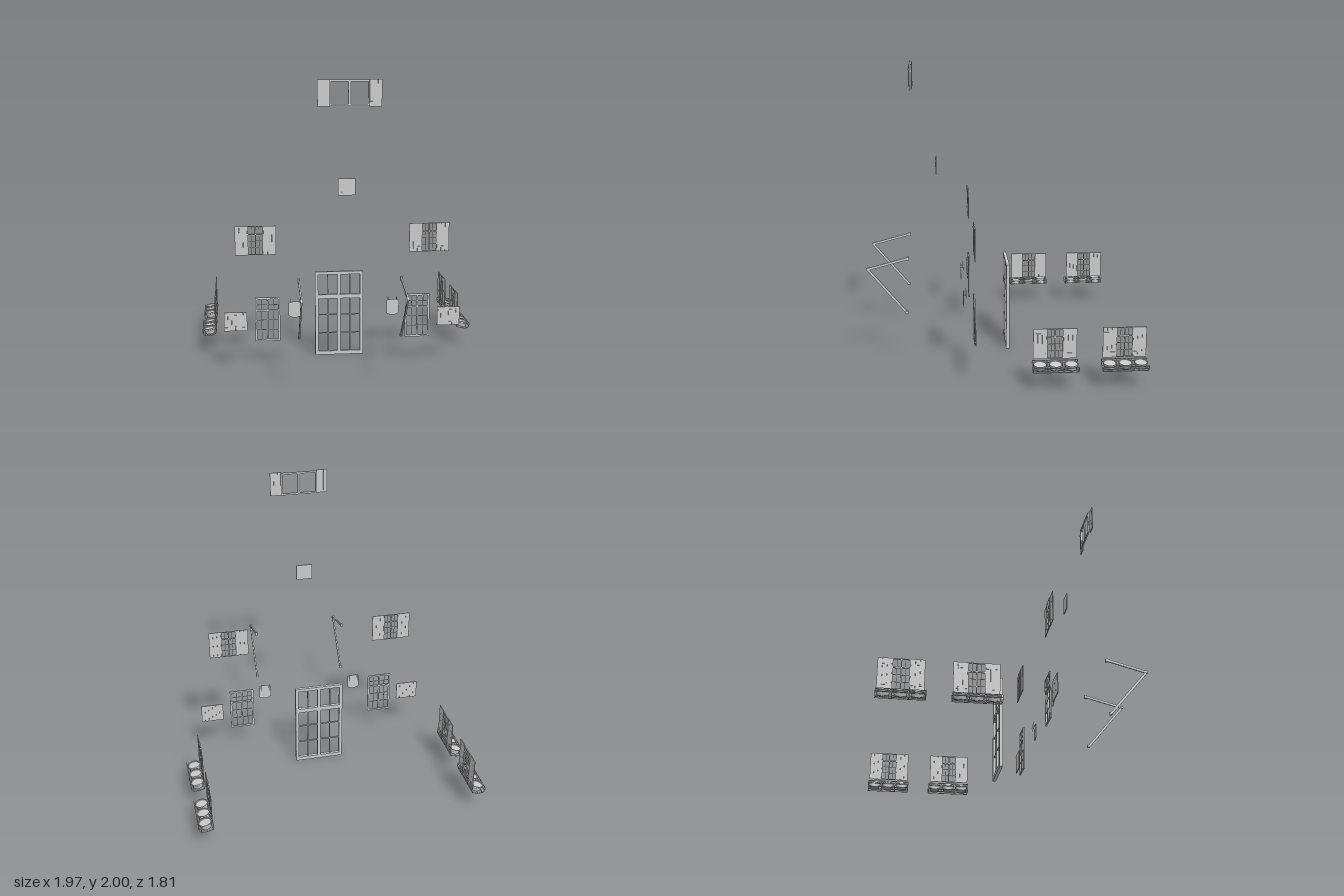
import * as THREE from 'three';

const grey = new THREE.MeshStandardMaterial({ color: 0xcccccc, flatShading: true });
const smooth = new THREE.MeshStandardMaterial({ color: 0xcccccc, side: THREE.DoubleSide });

function box(parent, name, w, h, d, x, y, z) {
  const m = new THREE.Mesh(new THREE.BoxGeometry(w, h, d), grey);
  m.name = name;
  m.position.set(x, y, z);
  parent.add(m);
  return m;
}

// Straight bar of rectangular section between two points
function bar(parent, name, a, b, w, d) {
  const from = new THREE.Vector3(...a), to = new THREE.Vector3(...b);
  const m = box(parent, name, w, d, from.distanceTo(to), 0, 0, 0);
  m.position.copy(from).add(to).multiplyScalar(0.5);
  m.lookAt(to);
}

// Frame with central mullion, optional transom and thin glazing bars; base at y = 0
function casement(name, w, h, d, o) {
  const g = new THREE.Group();
  g.name = name;
  const b = o.border, bot = o.bottom ?? b, t = o.thin ?? 0.003;
  for (const s of [-1, 1]) box(g, 'stile', b, h, d, s * (w - b) / 2, h / 2, 0);
  box(g, 'headRail', w - 2 * b, b, d, 0, h - b / 2, 0);
  box(g, 'bottomRail', w - 2 * b, bot, d, 0, bot / 2, 0);
  box(g, 'mullion', o.mullion, h - b - bot, d * 0.9, 0, (h - b + bot) / 2, 0);
  const fields = [];
  if (o.transom) {
    box(g, 'transom', w - 2 * b, o.transomSize, d * 1.05, 0, o.transom, 0);
    fields.push([bot, o.transom, o.rows], [o.transom, h - b, o.topRows]);
  }
  for (const [y0, y1, rows] of fields) {
    for (let i = 1; i < rows; i++)
      box(g, 'glazingBar', w - 2 * b, t, d * 0.5, 0, y0 + (y1 - y0) * i / rows, 0);
    for (const s of [-1, 1])
      box(g, 'glazingBar', t, y1 - y0, d * 0.5, s * w * 0.235, (y0 + y1) / 2, 0);
  }
  return g;
}

// Plank shutter with strap hinges on its outer face
function shutter(w, h, d, x, y, z, planks = 3) {
  const g = new THREE.Group();
  g.name = 'shutter';
  g.position.set(x, y, z);
  const p = w / planks;
  for (let i = 0; i < planks; i++)
    box(g, 'plank', p - 0.0006, h, d, -w / 2 + p * (i + 0.5), h / 2, 0);
  for (const k of [0.17, 0.83]) box(g, 'strapHinge', w * 0.9, 0.007, 0.002, 0, h * k, d / 2 + 0.001);
  return g;
}

function shutteredWindow(name) {
  const g = new THREE.Group();
  g.name = name;
  g.add(casement('casement', 0.108, 0.2, 0.008, {
    border: 0.005, mullion: 0.007, transom: 0.143, transomSize: 0.008, rows: 3, topRows: 1, thin: 0.0025
  }));
  for (const s of [-1, 1]) g.add(shutter(0.086, 0.2, 0.005, s * 0.097, 0, 0.002));
  return g;
}

// Wire rack carrying three round planters, sloping away from the wall (local +z)
function planterRack() {
  const g = new THREE.Group();
  g.name = 'planterRack';
  for (const z of [-0.046, 0, 0.046])
    bar(g, 'bottomRail', [-0.147, -0.028, z * 0.8], [0.147, -0.028, z * 0.8], 0.004, 0.004);
  for (const z of [-0.048, 0.048]) for (const y of [-0.006, 0.012])
    bar(g, 'sideRail', [-0.147, y, z], [0.147, y, z], 0.004, 0.004);
  for (const x of [-0.145, -0.05, 0.05, 0.145]) {
    const curve = new THREE.CatmullRomCurve3([[0.014, -0.048], [-0.018, -0.044], [-0.028, -0.03],
      [-0.028, 0.03], [-0.018, 0.044], [0.014, 0.05]].map(([y, z]) => new THREE.Vector3(x, y, z)));
    const m = new THREE.Mesh(new THREE.TubeGeometry(curve, 16, 0.0022, 5), smooth);
    m.name = 'cradle';
    g.add(m);
  }
  const profile = [[0, -0.024], [0.034, -0.024], [0.038, -0.004], [0.042, 0.004], [0.044, 0.006],
    [0.044, 0.016], [0.039, 0.016], [0.038, 0.01], [0, 0.01]].map(p => new THREE.Vector2(...p));
  for (const x of [-0.1, 0, 0.1]) {
    const pot = new THREE.Mesh(new THREE.LatheGeometry(profile, 24), grey);
    pot.name = 'planter';
    pot.position.x = x;
    g.add(pot);
  }
  g.rotation.x = 0.18;
  return g;
}

// Hanging plate with a bowed lower edge and two hooks behind
function plaque() {
  const g = new THREE.Group();
  g.name = 'hangingPlaque';
  const s = new THREE.Shape();
  s.moveTo(-0.043, 0.385);
  s.quadraticCurveTo(0, 0.355, 0.043, 0.385);
  s.lineTo(0.043, 0.475);
  s.quadraticCurveTo(0, 0.49, -0.043, 0.475);
  s.closePath();
  const m = new THREE.Mesh(new THREE.ExtrudeGeometry(s, { depth: 0.004, bevelEnabled: false }), grey);
  m.name = 'plate';
  m.position.z = 0.25;
  g.add(m);
  for (const x of [-0.03, 0.03]) {
    box(g, 'hook', 0.004, 0.055, 0.003, x, 0.468, 0.236);
    box(g, 'hookArm', 0.004, 0.004, 0.02, x, 0.465, 0.242);
  }
  return g;
}

// Two-part folding arm with joint blocks
function foldingArm() {
  const g = new THREE.Group();
  g.name = 'foldingArm';
  const top = [0, 0.72, 0.625], elbow = [0, 0.648, 0.896], low = [0, 0.34, 0.64];
  bar(g, 'upperArm', top, elbow, 0.01, 0.016);
  bar(g, 'lowerArm', low, elbow, 0.01, 0.016);
  box(g, 'topBracket', 0.016, 0.024, 0.018, 0, 0.718, 0.626);
  box(g, 'lowBracket', 0.016, 0.018, 0.018, 0, 0.34, 0.638);
  const pin = new THREE.Mesh(new THREE.CylinderGeometry(0.01, 0.01, 0.017, 12), grey);
  pin.name = 'elbow';
  pin.rotation.z = Math.PI / 2;
  pin.position.set(...elbow);
  g.add(pin);
  return g;
}

export function createModel() {
  const model = new THREE.Group();
  const place = (o, x, y, z, ry = 0) => {
    o.position.set(x, y, z);
    o.rotation.y = ry;
    model.add(o);
  };

  // Tall central door
  place(casement('door', 0.345, 0.615, 0.022, {
    border: 0.022, bottom: 0.027, mullion: 0.022, transom: 0.432, transomSize: 0.03, rows: 3, topRows: 1, thin: 0.006
  }), -0.002, 0, -0.063);

  // Attic window, its shutters set slightly forward
  const attic = casement('atticWindow', 0.26, 0.165, 0.01, { border: 0.012, mullion: 0.016 });
  for (const s of [-1, 1]) attic.add(shutter(0.08, 0.17, 0.007, s * 0.166, -0.003, 0.012));
  place(attic, -0.002, 1.834, 0.588);

  // Small hatch with fittings
  const hatch = new THREE.Group();
  hatch.name = 'hatch';
  box(hatch, 'leftLeaf', 0.057, 0.112, 0.007, -0.029, 0, 0);
  box(hatch, 'rightLeaf', 0.057, 0.112, 0.007, 0.029, 0, 0);
  box(hatch, 'coverStrip', 0.005, 0.07, 0.004, 0, 0.021, 0.005);
  for (const s of [-1, 1]) for (const y of [-0.038, 0.038])
    box(hatch, 'hinge', 0.025, 0.006, 0.004, s * 0.042, y, 0.004);
  place(hatch, -0.001, 1.295, 0.426);

  for (const s of [-1, 1]) {
    place(shutteredWindow('upperWindow'), s * 0.6, 0.8, 0.186);
    place(casement('lowerWindow', 0.173, 0.31, 0.009, {
      border: 0.013, mullion: 0.01, transom: 0.218, transomSize: 0.011, rows: 3, topRows: 2
    }), s * 0.523, 0.19, 0.186);
    place(shutter(0.16, 0.132, 0.006, 0, 0, 0, 6), s * 0.744, 0.268, 0.19);
    place(plaque(), s * 0.338, 0, 0);
    place(foldingArm(), s * 0.334, 0, 0);

    // Side windows facing outwards, each with a planter rack below
    for (const z of [-0.31, -0.755]) {
      const side = shutteredWindow('sideWindow');
      const rack = planterRack();
      rack.position.set(0, -0.033, 0.043);
      side.add(rack);
      place(side, s * 0.89, 0.2, z, s * Math.PI / 2);
    }
  }
  return model;
}
